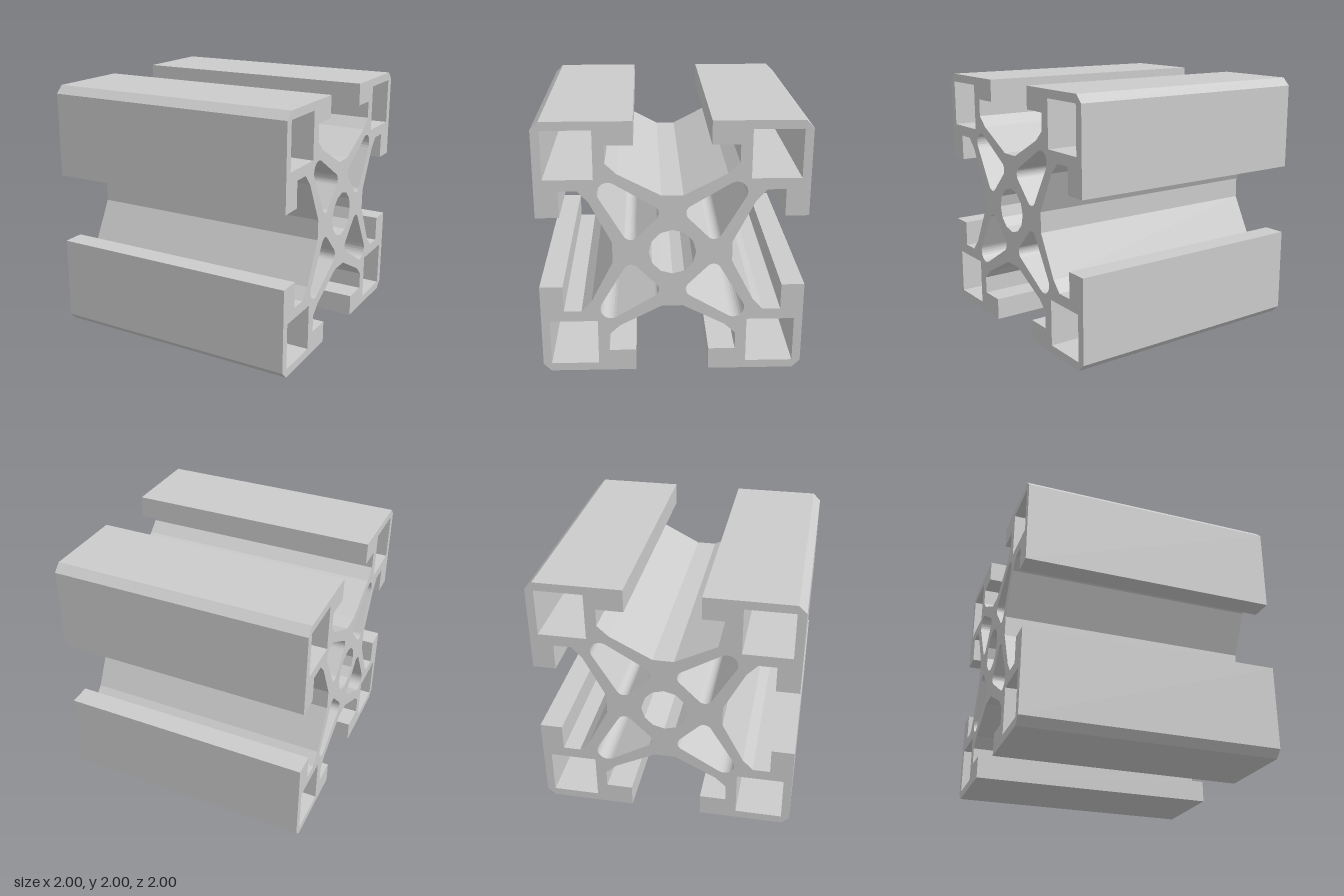
import * as THREE from 'three';

// Turn a point by k quarter turns about the profile centre
function turn([u, v], k) {
  for (let i = 0; i < k; i++) [u, v] = [-v, u];
  return new THREE.Vector2(u, v);
}

// Rounded triangular lightening hole: three arcs joined by tangent lines
function triangleHole(k) {
  const path = new THREE.Path();
  const arcs = [
    [0.467, 0.467, 0.08, -30, 120],
    [0.16, 0.308, 0.06, 120, 225],
    [0.308, 0.16, 0.06, 225, 330],
  ];
  for (const [u, v, r, a, b] of arcs) {
    const c = turn([u, v], k);
    path.absarc(c.x, c.y, r, THREE.MathUtils.degToRad(a + 90 * k), THREE.MathUtils.degToRad(b + 90 * k), false);
  }
  path.closePath();
  return path;
}

export function createModel() {
  const group = new THREE.Group();
  group.name = 'slottedBeam';

  // Half of one corner: web, slot undercut, lip, chamfer; mirrored on the diagonal
  const half = [
    [0.445, 0.08], [0.61, 0.4], [0.69, 0.485], [0.825, 0.485],
    [0.825, 0.28], [1, 0.28], [1, 0.94],
  ];
  const corner = [...half, ...half.map(([u, v]) => [v, u]).reverse()];
  const square = [[0.57, 0.57], [0.935, 0.57], [0.935, 0.935], [0.57, 0.935]];

  const outline = [];
  const holes = [];
  for (let k = 0; k < 4; k++) {
    outline.push(...corner.map((p) => turn(p, k)));
    holes.push(new THREE.Path(square.map((p) => turn(p, k))));
    holes.push(triangleHole(k));
  }

  // Twelve-sided centre bore
  const bore = [];
  for (let i = 0; i < 12; i++) {
    const a = (i * Math.PI) / 6;
    bore.push(new THREE.Vector2(0.176 * Math.cos(a), 0.176 * Math.sin(a)));
  }
  holes.push(new THREE.Path(bore));

  const shape = new THREE.Shape(outline);
  shape.holes.push(...holes);

  // Extrude the section and lay it along x
  const geometry = new THREE.ExtrudeGeometry(shape, { depth: 2, bevelEnabled: false, curveSegments: 5 });
  geometry.translate(0, 0, -1);
  geometry.rotateY(Math.PI / 2);
  geometry.translate(0, 1, 0);

  const beam = new THREE.Mesh(geometry, new THREE.MeshStandardMaterial({ color: 0xcccccc }));
  beam.name = 'extrudedProfile';
  group.add(beam);
  return group;
}
